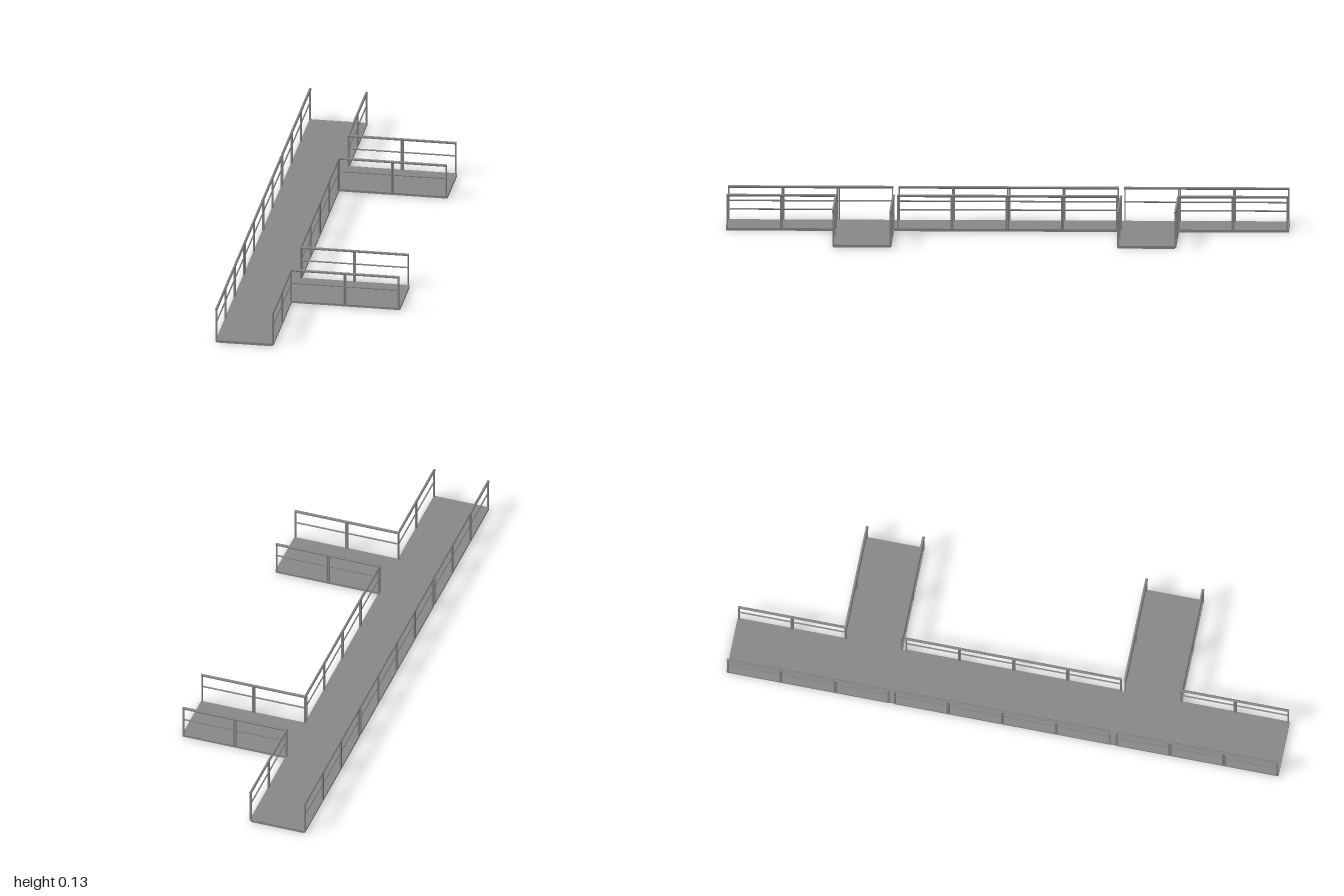
import * as THREE from 'three';

const RAIL_Y = 0.1275, MID_Y = 0.078, DECK_TOP = 0.01, MODULE = 0.196;

export function createModel() {
  const model = new THREE.Group();
  model.name = 'walkway';
  const darkGrey = new THREE.MeshStandardMaterial({ color: 0x888888 });

  const add = (parent, name, geometry, x, y, z) => {
    const mesh = new THREE.Mesh(geometry, darkGrey);
    mesh.name = name;
    mesh.position.set(x, y, z);
    parent.add(mesh);
    return mesh;
  };

  // Deck: one long strip with two side branches, drawn as (x, -z)
  const outline = [
    [-0.295, -1], [-0.094, -1], [-0.094, -0.606], [0.3, -0.606],
    [0.3, -0.404], [-0.094, -0.404], [-0.094, 0.404], [0.3, 0.404],
    [0.3, 0.606], [-0.094, 0.606], [-0.094, 1], [-0.295, 1],
  ].map(([x, y]) => new THREE.Vector2(x, y));
  const deck = new THREE.ExtrudeGeometry(new THREE.Shape(outline), { depth: DECK_TOP, bevelEnabled: false });
  deck.rotateX(-Math.PI / 2);
  add(model, 'deck', deck, 0, 0, 0);

  // A straight railing of equal bays, built along local +x
  function railing(name, x, z, bays, alongZ) {
    const group = new THREE.Group();
    group.name = name;
    const length = bays * MODULE;
    const tube = (part, radius, y) => {
      const g = new THREE.CylinderGeometry(radius, radius, length, 8);
      g.rotateZ(Math.PI / 2);
      add(group, part, g, length / 2, y, 0);
    };
    tube('handrail', 0.005, RAIL_Y);
    tube('midRail', 0.0028, MID_Y);
    add(group, 'bottomRail', new THREE.BoxGeometry(length, 0.008, 0.005), length / 2, 0.006, 0);
    // Each bay has its own pair of flat posts, so neighbours stand side by side
    const postHeight = RAIL_Y - 0.004;
    for (let i = 0; i < bays; i++) {
      for (const px of [i * MODULE + 0.003, (i + 1) * MODULE - 0.003]) {
        add(group, 'post', new THREE.BoxGeometry(0.005, postHeight, 0.006), px, 0.004 + postHeight / 2, 0);
      }
    }
    group.position.set(x, 0, z);
    if (alongZ) group.rotation.y = -Math.PI / 2;
    model.add(group);
  }

  // Railings of the long strip; its ends stay open
  railing('outerRailingBack', -0.295, -0.998, 3, true);
  railing('outerRailingMiddle', -0.295, -0.392, 4, true);
  railing('outerRailingFront', -0.295, 0.41, 3, true);
  railing('innerRailingBack', -0.092, -0.998, 2, true);
  railing('innerRailingMiddle', -0.092, -0.392, 4, true);
  railing('innerRailingFront', -0.092, 0.606, 2, true);

  // Railings on both sides of each branch; its tip stays open
  for (const side of [-1, 1]) {
    for (const z of [0.404, 0.608]) railing('branchRailing', -0.094, side * z, 2, false);
  }
  return model;
}
